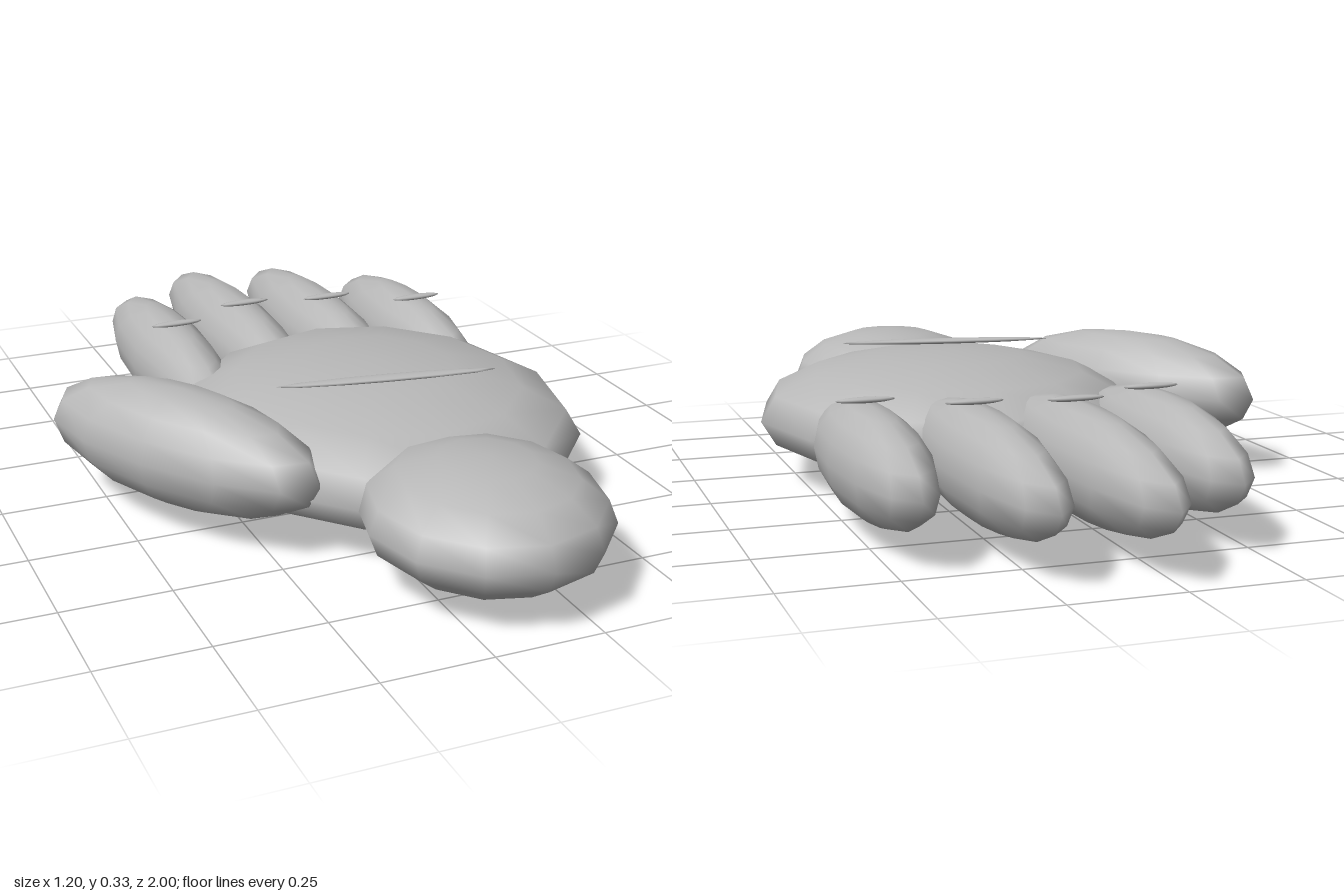
import * as THREE from 'three';

export function createModel() {
  const group = new THREE.Group();
  const grey = new THREE.MeshStandardMaterial({ color: 0xb8b8b8 });
  grey.name = 'grey';
  const ball = new THREE.SphereGeometry(1, 12, 8);

  // Ellipsoid with given centre, radii and turn about the vertical axis
  function ellipsoid(name, position, radii, turn = 0) {
    const mesh = new THREE.Mesh(ball, grey);
    mesh.name = name;
    mesh.position.set(...position);
    mesh.scale.set(...radii);
    mesh.rotation.y = turn;
    group.add(mesh);
  }

  // Palm, wrist and thumb
  ellipsoid('palm', [0.13, 0.16, 0.15], [0.47, 0.155, 0.52]);
  ellipsoid('wrist', [0.13, 0.16, 0.7], [0.27, 0.135, 0.295]);
  ellipsoid('thumb', [-0.37, 0.195, 0.19], [0.14, 0.137, 0.388], 0.53);
  ellipsoid('palmCrease', [0.1, 0.316, 0.272], [0.263, 0.007, 0.018], -0.16);

  // Fingers: x, centre z, half length; each has a crease on top
  const fingers = [
    ['indexFinger', -0.2, -0.41, 0.42],
    ['middleFinger', 0.017, -0.5, 0.5],
    ['ringFinger', 0.238, -0.465, 0.477],
    ['littleFinger', 0.456, -0.37, 0.39],
  ];
  for (const [name, x, z, length] of fingers) {
    ellipsoid(name, [x, 0.16, z], [0.1, 0.122, length]);
    ellipsoid(name + 'Crease', [x, 0.285, z + 0.06], [0.067, 0.007, 0.012]);
  }
  return group;
}
